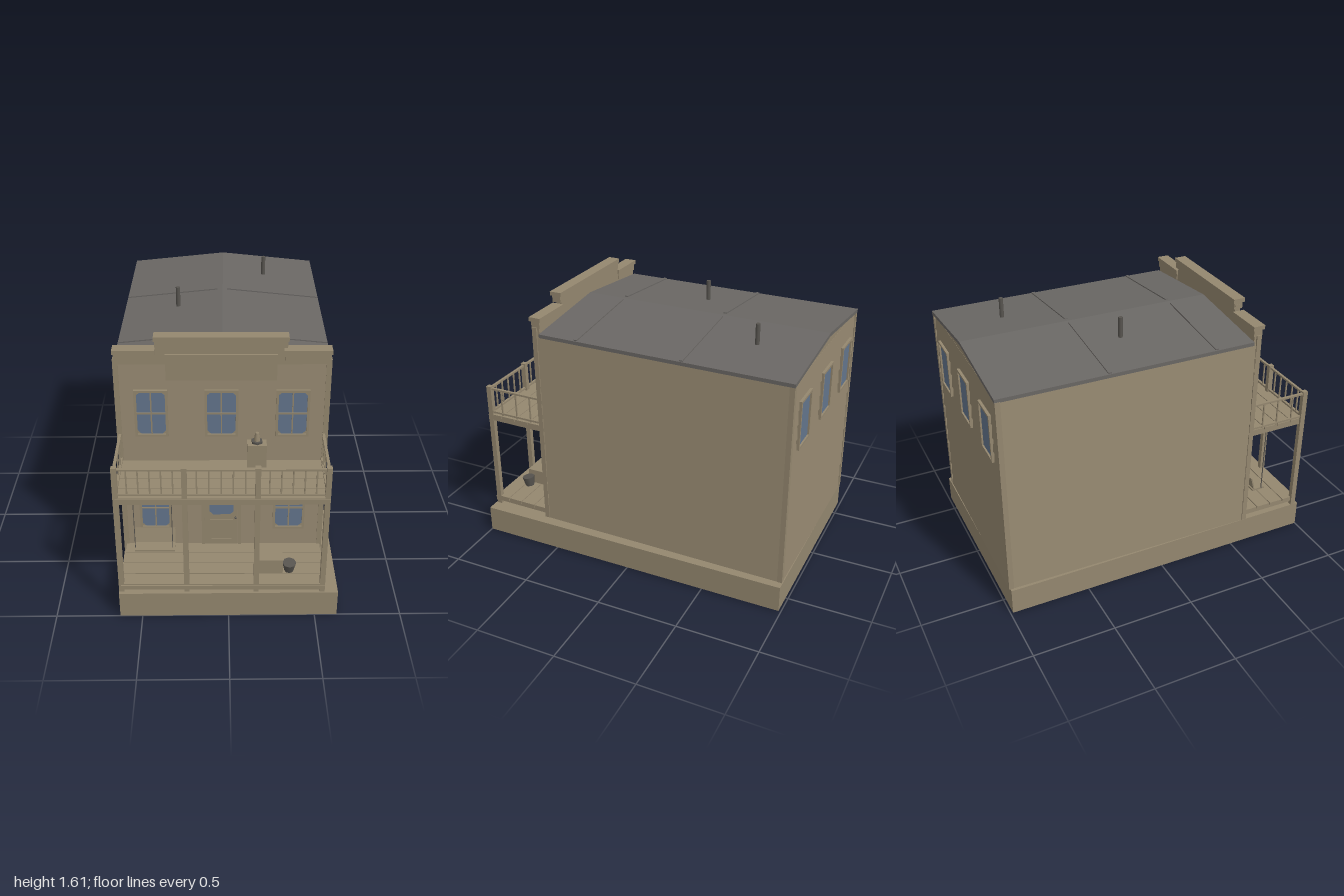
import * as THREE from 'three';

const mat = (name, color) => Object.assign(new THREE.MeshStandardMaterial({ color }), { name });

export function createModel() {
  const wood = mat('tan wood', 0x94876f);
  const roofing = mat('grey roofing', 0x6a6764);
  const glass = mat('blue glass', 0x63758c);
  const iron = mat('dark iron', 0x57544f);

  const model = new THREE.Group();
  const house = new THREE.Group();
  house.name = 'house';
  house.rotation.y = -0.01; // sits very slightly askew on its base
  model.add(house);

  const add = (parent, name, geo, m, x = 0, y = 0, z = 0) => {
    const mesh = new THREE.Mesh(geo, m);
    mesh.name = name;
    mesh.position.set(x, y, z);
    parent.add(mesh);
    return mesh;
  };
  // box given by its limits
  const box = (parent, name, x0, x1, y0, y1, z0, z1, m = wood) =>
    add(parent, name, new THREE.BoxGeometry(x1 - x0, y1 - y0, z1 - z0), m,
      (x0 + x1) / 2, (y0 + y1) / 2, (z0 + z1) / 2);
  const extrude = (pts, depth) => new THREE.ExtrudeGeometry(
    new THREE.Shape(pts.map(p => new THREE.Vector2(...p))), { depth, bevelEnabled: false });

  // base
  box(model, 'base', -0.63, 0.63, 0, 0.165, -0.985, 1);

  // gabled core
  const L = -0.612, R = 0.562, F = 0.6, B = -0.975, ridge = -0.025;
  add(house, 'walls', extrude([[L, 0.16], [R, 0.16], [R, 1.415], [ridge, 1.476], [L, 1.415]], F - B), wood, 0, 0, B);

  // lapped siding: a sawtooth profile run along each wall
  const siding = (name, length, top, n, x, z, angle) => {
    const y0 = 0.165, h = (top - y0) / n, pts = [[-0.004, y0]];
    for (let i = 0; i < n; i++) pts.push([0.009, y0 + i * h], [0.001, y0 + (i + 1) * h]);
    pts.push([-0.004, top]);
    const geo = extrude(pts, length).translate(0, 0, -length / 2);
    add(house, name, geo, wood, x, 0, z).rotation.y = angle;
  };
  const midX = (L + R) / 2, midZ = (F + B) / 2;
  siding('rightSiding', F - B, 1.415, 14, R, midZ, 0);
  siding('leftSiding', F - B, 1.415, 14, L, midZ, Math.PI);
  siding('backSiding', R - L, 1.415, 14, midX, B, Math.PI / 2);
  siding('frontSiding', R - L, 1.46, 14, midX, F, -Math.PI / 2);

  // corner boards
  for (const x of [L, R]) {
    for (const z of [B, F]) {
      const sx = x < 0 ? -1 : 1, sz = z < 0 ? -1 : 1;
      const cx = x - sx * 0.004, cz = z - sz * 0.004;
      box(house, 'cornerBoard', cx - 0.015, cx + 0.015, 0.165, z < 0 ? 1.415 : 1.47, cz - 0.015, cz + 0.015);
    }
  }

  // stepped false front with cornices
  add(house, 'falseFront', extrude([[L, 1.38], [R, 1.38], [R, 1.5], [0.31, 1.5], [0.31, 1.57],
    [-0.39, 1.57], [-0.39, 1.5], [L, 1.5]], 0.035), wood, 0, 0, 0.568);
  const cornice = (x0, x1, y) => {
    box(house, 'corniceLower', x0 + 0.006, x1 - 0.006, y - 0.065, y - 0.025, 0.562, 0.617);
    box(house, 'corniceCap', x0, x1, y - 0.025, y, 0.555, 0.628);
  };
  cornice(L - 0.01, -0.39, 1.53);
  cornice(0.31, R + 0.01, 1.53);
  cornice(-0.395, 0.335, 1.608);
  box(house, 'signPanel', -0.335, 0.275, 1.345, 1.5, 0.6, 0.616);

  // roof with seams and stovepipes
  const rl = -0.622, rr = 0.575;
  add(house, 'roof', extrude([[rl, 1.412], [ridge, 1.474], [rr, 1.412], [rr, 1.434], [ridge, 1.495], [rl, 1.434]], 1.553),
    roofing, 0, 0, -0.988);
  for (const z of [-0.335, 0.325]) {
    for (const [x0, x1, tilt] of [[rl + 0.005, -0.055, 0.102], [0, rr - 0.005, -0.102]]) {
      const mx = (x0 + x1) / 2;
      const y = 1.495 - Math.abs(mx - ridge) * 0.102;
      const seam = add(house, 'roofSeam', new THREE.BoxGeometry(x1 - x0, 0.014, 0.02), roofing, mx, y, z);
      seam.rotation.z = tilt;
    }
  }
  for (const [x, z] of [[0.24, -0.65], [-0.295, -0.125]])
    add(house, 'stovepipe', new THREE.CylinderGeometry(0.013, 0.013, 0.13, 12), iron, x, 1.525, z);

  // pane with clipped corners
  const pane = (parent, x0, x1, y0, y1, z, c) => add(parent, 'pane', extrude([
    [x0 + c, y0], [x1 - c, y0], [x1, y0 + c], [x1, y1 - c],
    [x1 - c, y1], [x0 + c, y1], [x0, y1 - c], [x0, y0 + c]], 0.003), glass, 0, 0, z);
  // frame of four bars around an opening
  const frame = (parent, name, x0, x1, y0, y1, t, z0, z1) => {
    box(parent, name, x0, x0 + t, y0, y1, z0, z1);
    box(parent, name, x1 - t, x1, y0, y1, z0, z1);
    box(parent, name, x0 + t, x1 - t, y0, y0 + t, z0, z1);
    box(parent, name, x0 + t, x1 - t, y1 - t, y1, z0, z1);
  };
  // window, facing +z about its own middle
  const windowAt = (x, y, z, back) => {
    const g = new THREE.Group();
    g.name = back ? 'backWindow' : 'frontWindow';
    const w = 0.094, h = 0.148;
    box(g, 'sash', -w + 0.005, w - 0.005, -h + 0.005, h - 0.005, 0, 0.0095);
    pane(g, -w + 0.014, w - 0.014, -h + 0.014, h - 0.014, 0.008, back ? 0.002 : 0.022);
    frame(g, 'windowFrame', -w, w, -h, h, 0.014, 0, 0.021);
    if (!back) {
      box(g, 'muntin', -0.004, 0.004, -h + 0.014, h - 0.014, 0.005, 0.015);
      box(g, 'meetingRail', -w + 0.014, w - 0.014, -0.005, 0.005, 0.005, 0.016);
    }
    g.position.set(x, y, z);
    if (back) g.rotation.y = Math.PI;
    house.add(g);
  };
  for (const x of [-0.423, -0.03, 0.368]) {
    windowAt(x, 1.135, F, false);
    windowAt(x, 1.135, B, true);
  }
  for (const x of [-0.423, 0.368]) windowAt(x, 0.488, F, false);

  // front door with transom
  const door = new THREE.Group();
  door.name = 'door';
  door.position.set(0.005, 0, F);
  house.add(door);
  box(door, 'doorLeaf', -0.14, 0.06, 0.22, 0.7, 0, 0.012);
  frame(door, 'doorFrame', -0.155, 0.08, 0.2, 0.71, 0.018, 0, 0.02);
  box(door, 'transomBar', -0.14, 0.065, 0.615, 0.63, 0, 0.018);
  pane(door, -0.137, 0.062, 0.634, 0.69, 0.0105, 0.008);
  pane(door, -0.108, 0.036, 0.44, 0.585, 0.0105, 0.022);
  frame(door, 'doorPanel', -0.105, 0.032, 0.255, 0.4, 0.008, 0.005, 0.018);
  add(door, 'doorKnob', new THREE.SphereGeometry(0.007, 10, 8), iron, 0.047, 0.418, 0.02);

  // porch floor and balcony, each of four planks
  const pl = -0.607, pr = 0.562;
  for (let i = 0; i < 4; i++) {
    const z0 = 0.607 + i * 0.096;
    box(house, 'porchPlank', pl, pr, 0.2, 0.22, z0, z0 + 0.091);
    box(house, 'balconyPlank', pl, pr, 0.802, 0.82, z0, z0 + 0.091);
  }
  box(house, 'porchSkirt', pl, pr, 0.186, 0.214, 0.965, 0.993);
  box(house, 'balconyBeam', pl, pr, 0.78, 0.815, 0.96, 0.99);
  for (const x of [pl, (pl + pr) / 2, pr - 0.02]) {
    box(house, 'porchJoist', x, x + 0.02, 0.186, 0.202, 0.6, 0.97);
    box(house, 'balconyJoist', x, x + 0.02, 0.78, 0.804, 0.6, 0.97);
  }

  // posts, rails and balusters
  const posts = [-0.605, -0.23, 0.168, 0.548];
  for (const x of posts) box(house, 'post', x - 0.015, x + 0.015, 0.165, 1.01, 0.955, 0.987);
  for (const y of [0.835, 0.994]) {
    box(house, 'frontRail', posts[0], posts[3], y - 0.006, y + 0.006, 0.963, 0.979);
    for (const x of [posts[0], posts[3]])
      box(house, 'sideRail', x - 0.008, x + 0.008, y - 0.006, y + 0.006, 0.605, 0.965);
  }
  for (let i = 0; i < 3; i++) {
    for (let k = 1; k < 6; k++) {
      const x = posts[i] + (posts[i + 1] - posts[i]) * k / 6;
      box(house, 'baluster', x - 0.004, x + 0.004, 0.835, 0.994, 0.967, 0.975);
    }
  }
  for (const x of [posts[0], posts[3]])
    for (const z of [0.61, 0.685, 0.785, 0.89])
      box(house, 'baluster', x - 0.004, x + 0.004, 0.82, 0.994, z - 0.004, z + 0.004);

  // hanging swing bench
  box(house, 'swingSeat', -0.54, -0.305, 0.3, 0.312, 0.7, 0.79);
  const back = box(house, 'swingBack', -0.54, -0.305, 0.308, 0.398, 0.697, 0.705);
  back.rotation.x = -0.25;
  for (const x of [-0.538, -0.318])
    box(house, 'swingRope', x - 0.002, x + 0.002, 0.305, 0.785, 0.763, 0.768, iron);

  // crate and bucket on the porch
  box(house, 'crate', 0.18, 0.325, 0.22, 0.315, 0.78, 0.89);
  const bucket = add(house, 'bucket', new THREE.CylinderGeometry(0.04, 0.028, 0.062, 8), iron, 0.363, 0.252, 0.865);
  bucket.rotation.x = 0.15;

  // cabinet and lamp on the balcony
  box(house, 'balconyCabinet', 0.115, 0.225, 0.82, 0.965, 0.615, 0.685);
  add(house, 'lampFoot', new THREE.CylinderGeometry(0.034, 0.034, 0.012, 6), iron, 0.17, 0.976, 0.652);
  add(house, 'lampCone', new THREE.CylinderGeometry(0.012, 0.02, 0.05, 6), wood, 0.17, 1.007, 0.652);

  // wall lantern beside the door
  box(house, 'lanternArm', 0.138, 0.144, 0.66, 0.667, 0.6, 0.672);
  add(house, 'lanternShade', new THREE.CylinderGeometry(0.008, 0.018, 0.038, 8), wood, 0.141, 0.645, 0.667);

  return model;
}
